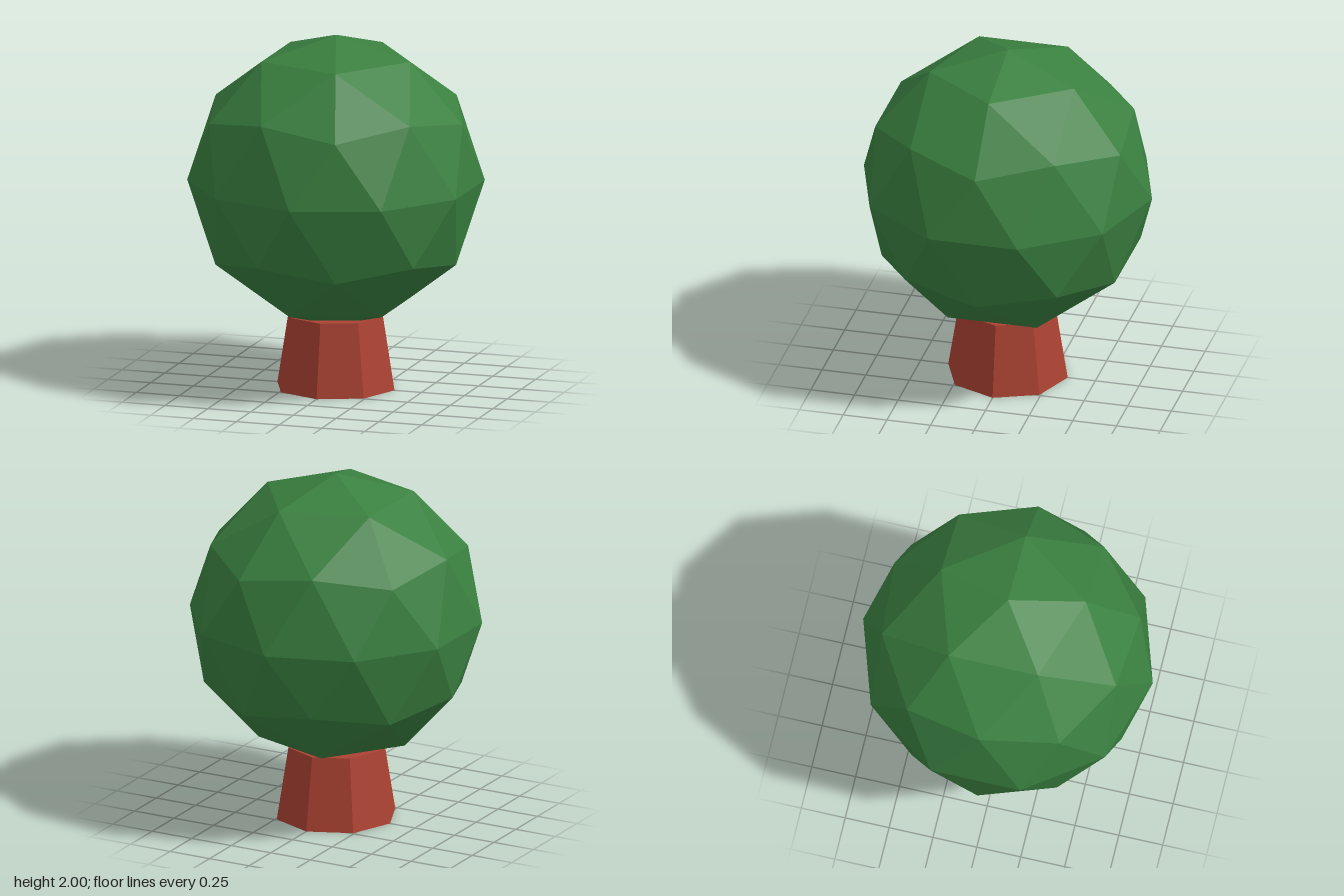
import * as THREE from 'three';

const leafGreen = new THREE.MeshStandardMaterial({ color: 0x3a8040 });
leafGreen.name = 'leaf green';
const barkRed = new THREE.MeshStandardMaterial({ color: 0xac4232 });
barkRed.name = 'bark red';

// Unshared corners give every facet its own flat normal
function faceted(geometry) {
  const flat = geometry.index ? geometry.toNonIndexed() : geometry;
  flat.computeVertexNormals();
  return flat;
}

function addPart(group, name, geometry, material, y) {
  const mesh = new THREE.Mesh(faceted(geometry), material);
  mesh.name = name;
  mesh.position.y = y;
  group.add(mesh);
}

export function createModel() {
  const tree = new THREE.Group();
  tree.name = 'tree';

  // Crown: icosphere tipped so that one original corner is its top pole
  const goldenRatio = (1 + Math.sqrt(5)) / 2;
  const crown = new THREE.IcosahedronGeometry(0.825, 1);
  crown.rotateZ(-Math.atan(1 / goldenRatio));
  addPart(tree, 'foliage', crown, leafGreen, 1.175);

  // Trunk: tapered octagon with a corner facing front
  const trunkHeight = 0.415;
  const trunk = new THREE.CylinderGeometry(0.275, 0.342, trunkHeight, 8);
  addPart(tree, 'trunk', trunk, barkRed, trunkHeight / 2);

  return tree;
}
